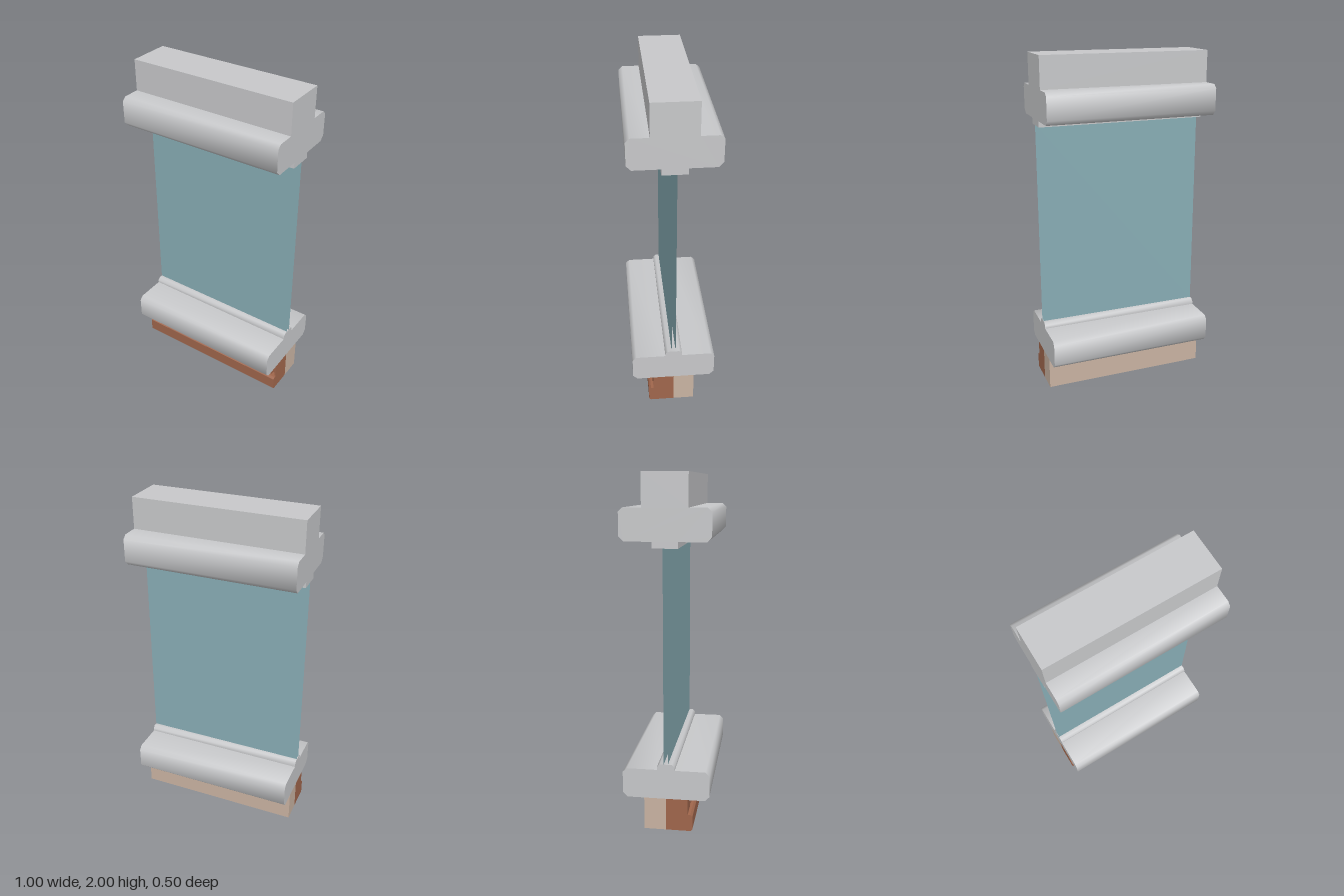
import * as THREE from 'three';
import { toCreasedNormals } from 'three/addons/utils/BufferGeometryUtils.js';

const material = (name, color, side = THREE.FrontSide) => {
  const m = new THREE.MeshStandardMaterial({ color, side });
  m.name = name;
  return m;
};

// Extrudes a [z, y] profile along x, from x0 to x1
function bar(profile, x0, x1, crease = 0.9) {
  const shape = new THREE.Shape(profile.map(([z, y]) => new THREE.Vector2(z, y)));
  const geo = new THREE.ExtrudeGeometry(shape, { depth: x1 - x0, bevelEnabled: false });
  geo.rotateY(-Math.PI / 2).translate(x1, 0, 0);
  return toCreasedNormals(geo, crease);
}

// Completes a right-hand half profile (bottom to top) with its mirror image
const mirrored = (half) => [...half, ...half.map(([z, y]) => [-z, y]).reverse()];

export function createModel() {
  const group = new THREE.Group();
  const frame = material('grey frame', 0xc7c8ca);
  const glass = material('blue glass', 0x88adb5, THREE.DoubleSide);
  const brick = material('red brown stone', 0xa0664c);
  const tan = material('tan plaster', 0xc9b3a2);

  const add = (name, geo, mat) => {
    const mesh = new THREE.Mesh(geo, mat);
    mesh.name = name;
    group.add(mesh);
    return mesh;
  };

  // Upper rail with a raised block on top and a glazing strip underneath
  add('upperRail', bar(mirrored([
    [0.07, 1.605], [0.07, 1.64], [0.222, 1.64], [0.248, 1.667],
    [0.248, 1.795], [0.225, 1.817], [0.125, 1.817], [0.125, 2],
  ]), -0.5, 0.5), frame);

  // Lower rail with a glazing ridge on top
  add('lowerRail', bar(mirrored([
    [0.222, 0.19], [0.248, 0.216], [0.248, 0.34], [0.225, 0.363],
    [0.05, 0.363], [0.05, 0.382], [0.035, 0.397],
  ]), -0.5, 0.5), frame);

  // Two open panes
  for (const [name, z] of [['frontPane', 0.012], ['backPane', -0.012]]) {
    add(name, new THREE.PlaneGeometry(1, 1.22), glass).position.set(0, 1.0, z);
  }

  // Plain inner half of the wall
  add('innerWall', bar([[-0.125, 0], [0, 0], [0, 0.19], [-0.125, 0.19]], -0.5, 0.5), tan);

  // Outer half of the wall with a projecting plinth
  add('plinth', bar([
    [0, 0], [0.142, 0], [0.152, 0.01], [0.152, 0.088], [0.14, 0.1],
    [0.105, 0.1], [0.105, 0.19], [0, 0.19],
  ], -0.5, 0.5, 0.5), brick);

  // Row of stones separated by narrow grooves
  const stones = [
    [-0.5, -0.397], [-0.37, -0.243], [-0.217, -0.1], [-0.074, 0.042],
    [0.069, 0.185], [0.21, 0.47], [0.49, 0.5],
  ];
  for (const [x0, x1] of stones) {
    add('wallStone', bar([[0.1, 0.1], [0.125, 0.1], [0.125, 0.19], [0.1, 0.19]], x0, x1), brick);
  }
  return group;
}
